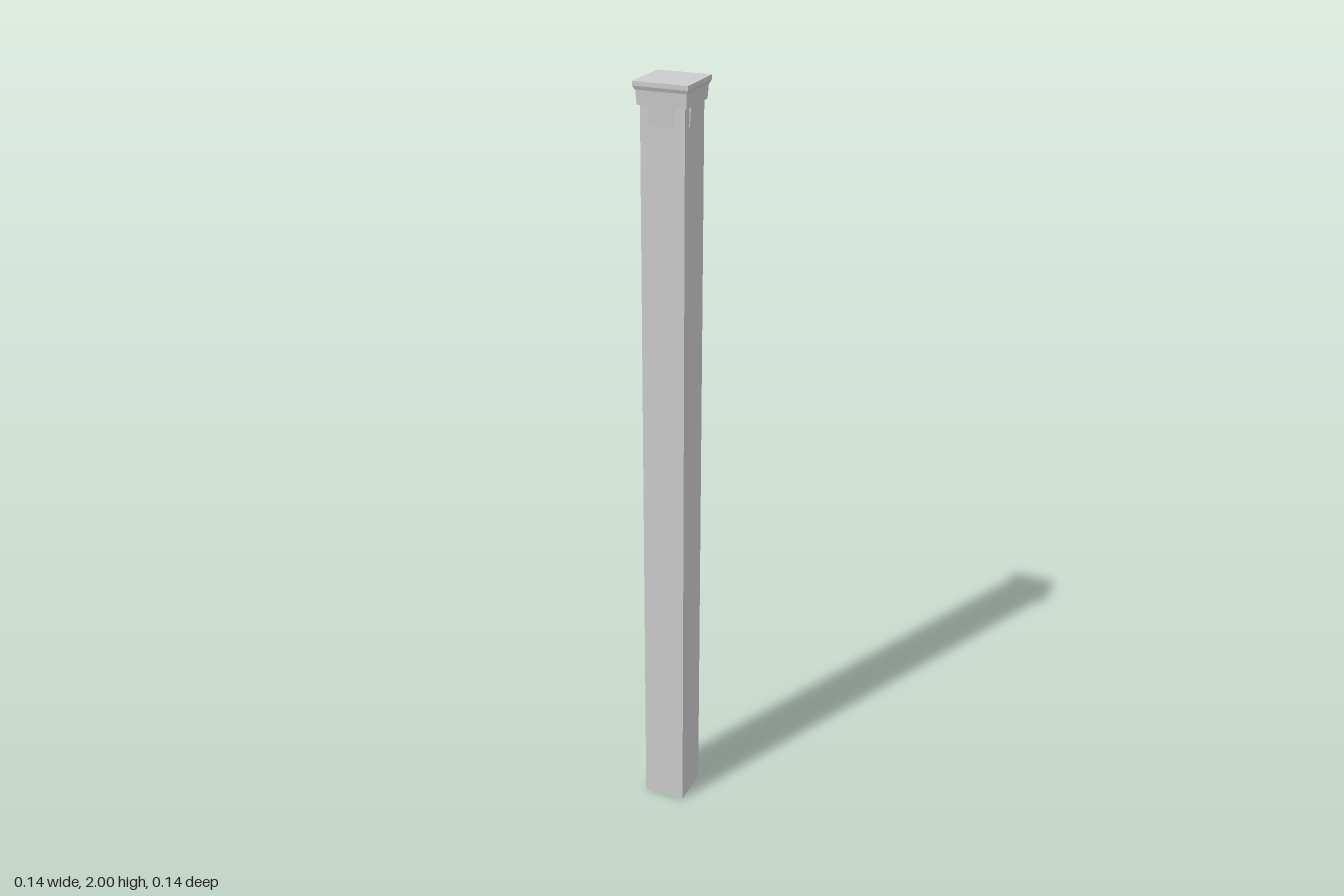
import * as THREE from 'three';

const POST = 0.0565; // half width of the shaft

// Square-plan surface from a profile of [half width, height], bottom to top
function squareLathe(profile, material, name) {
  const points = profile.map(([half, y]) => new THREE.Vector2(half * Math.SQRT2, y));
  const geometry = new THREE.LatheGeometry(points, 4, Math.PI / 4).toNonIndexed();
  geometry.computeVertexNormals();
  const mesh = new THREE.Mesh(geometry, material);
  mesh.name = name;
  return mesh;
}

// Flared, mitred collar panel with a hanging centre tab
function collarPanelGeometry() {
  const top = 1.982, step = 1.945, bottom = 1.897, tab = 0.56;
  const shape = new THREE.Shape([
    [-1, top], [-1, step], [-tab, step], [-tab, bottom],
    [tab, bottom], [tab, step], [1, step], [1, top],
  ].map(([x, y]) => new THREE.Vector2(x, y)));
  const geometry = new THREE.ExtrudeGeometry(shape, { depth: 1, bevelEnabled: false });
  const p = geometry.attributes.position;
  for (let i = 0; i < p.count; i++) {
    const y = p.getY(i);
    const outer = THREE.MathUtils.mapLinear(y, bottom, top, 0.059, 0.0645);
    const z = p.getZ(i) > 0.5 ? outer : POST - 0.0005;
    p.setXYZ(i, p.getX(i) * z, y, z);
  }
  geometry.computeVertexNormals();
  return geometry;
}

export function createModel() {
  const group = new THREE.Group();
  group.name = 'post';
  const material = new THREE.MeshStandardMaterial({
    color: 0xcccccc, flatShading: true, side: THREE.DoubleSide,
  });

  // Hollow shaft, open at the foot
  group.add(squareLathe([[POST, 0], [POST, 1.985]], material, 'shaft'));

  // Collar: one panel per side
  const collar = new THREE.Group();
  collar.name = 'collar';
  const panel = collarPanelGeometry();
  for (let i = 0; i < 4; i++) {
    const mesh = new THREE.Mesh(panel, material);
    mesh.name = 'collarPanel';
    mesh.rotation.y = i * Math.PI / 2;
    collar.add(mesh);
  }
  group.add(collar);

  // Flat cap with a bevelled lower edge
  group.add(squareLathe([
    [POST, 1.98], [0.0655, 1.98], [0.0695, 1.989], [0.0695, 2], [0, 2],
  ], material, 'cap'));

  return group;
}
